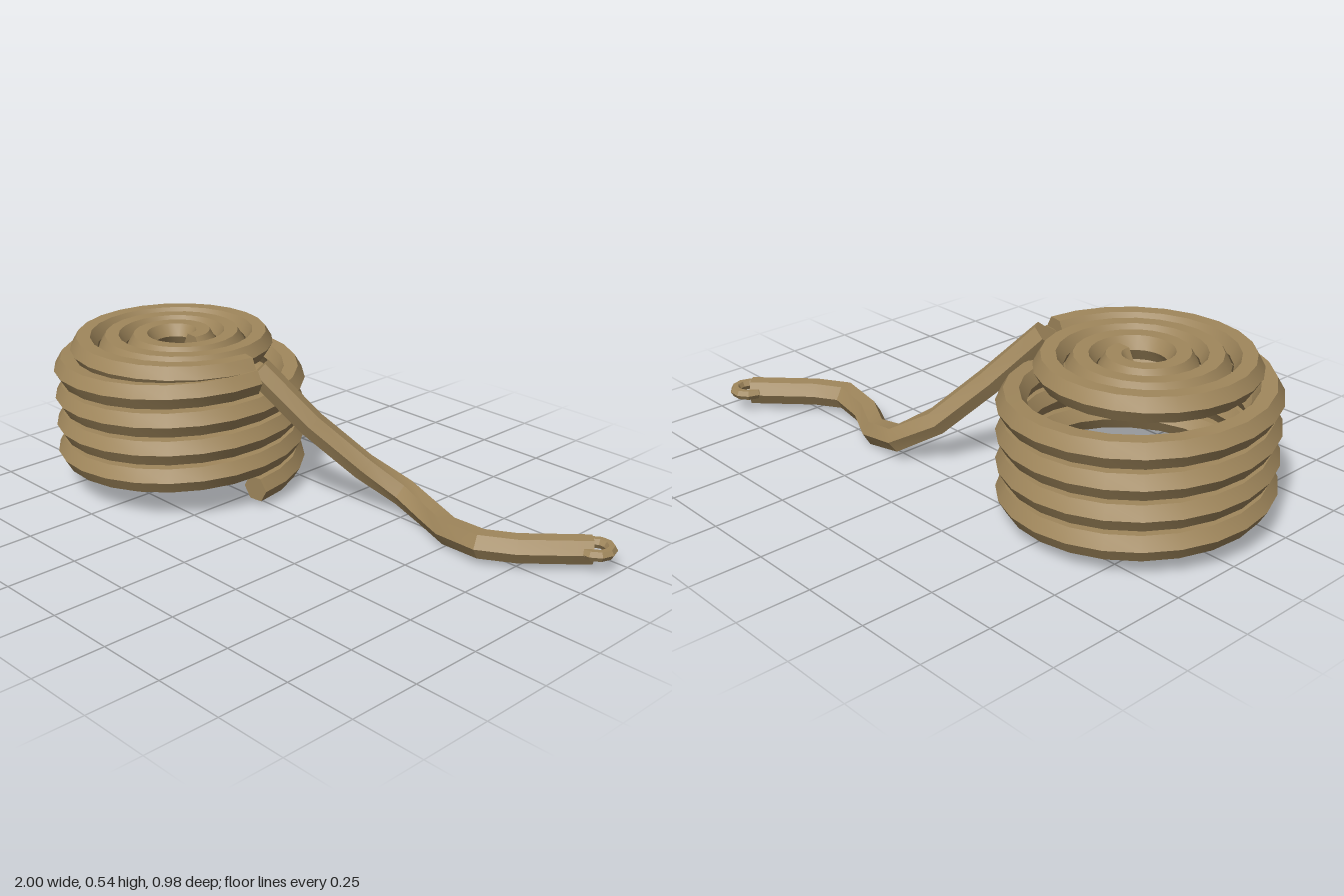
import * as THREE from 'three';
import { toCreasedNormals } from 'three/addons/utils/BufferGeometryUtils.js';

const SIDES = 6, CX = -0.56, CZ = 0.043;
const UP = new THREE.Vector3(0, 1, 0);

// Sweep a flat-topped hexagon along a path, mitred at the bends and capped at both ends
function ropeGeometry(path, radius) {
  const pos = [], index = [], n = path.length;
  path.forEach((p, i) => {
    const before = p.clone().sub(path[Math.max(i - 1, 0)]).normalize();
    const after = path[Math.min(i + 1, n - 1)].clone().sub(p).normalize();
    const t = before.clone().add(after).normalize();
    const miter = i > 0 && i < n - 1 ? 1 / t.dot(after) : 1;
    const side = t.clone().cross(UP).normalize();
    const up = side.clone().cross(t);
    for (let k = 0; k < SIDES; k++) {
      const a = (k / SIDES) * Math.PI * 2;
      const v = p.clone()
        .addScaledVector(side, Math.cos(a) * radius * miter)
        .addScaledVector(up, Math.sin(a) * radius);
      pos.push(v.x, v.y, v.z);
    }
  });
  for (let i = 0; i < n - 1; i++) {
    for (let k = 0; k < SIDES; k++) {
      const a = i * SIDES + k, b = i * SIDES + (k + 1) % SIDES;
      index.push(a, a + SIDES, b, b, a + SIDES, b + SIDES);
    }
  }
  const last = (n - 1) * SIDES;
  for (let k = 1; k < SIDES - 1; k++) {
    index.push(0, k, k + 1, last, last + k + 1, last + k);
  }
  const geo = new THREE.BufferGeometry();
  geo.setAttribute('position', new THREE.Float32BufferAttribute(pos, 3));
  geo.setIndex(index);
  return toCreasedNormals(geo, 0.5);
}

// Points winding around the coil axis; dir is +1 toward the front, -1 toward the back
function winding(turns, dir, r0, r1, y0, y1) {
  const pts = [], steps = turns * 24;
  for (let i = 0; i <= steps; i++) {
    const f = i / steps, a = f * turns * Math.PI * 2;
    const r = THREE.MathUtils.lerp(r0, r1, f);
    pts.push(new THREE.Vector3(
      CX + r * Math.cos(a), THREE.MathUtils.lerp(y0, y1, f), CZ + dir * r * Math.sin(a)));
  }
  return pts;
}

export function createModel() {
  const model = new THREE.Group();
  model.name = 'coiledRope';
  const rope = new THREE.MeshStandardMaterial({ color: 0xa0875c });
  rope.name = 'ropeTan';
  const add = (name, geo) => {
    const mesh = new THREE.Mesh(geo, rope);
    mesh.name = name;
    model.add(mesh);
    return mesh;
  };

  // Stacked loops and the flat spiral on top
  add('stackedCoil', ropeGeometry(winding(4, -1, 0.395, 0.395, 0.07, 0.47), 0.049));
  add('topSpiral', ropeGeometry(winding(3, 1, 0.37, 0.07, 0.51, 0.51), 0.047));

  // Loose end dropping from the coil and trailing along the ground
  const tail = [
    [-0.17, 0.5, 0.018], [-0.02, 0.32, -0.085], [0.11, 0.165, -0.21], [0.23, 0.083, -0.285],
    [0.375, 0.048, -0.267], [0.5, 0.058, -0.207], [0.65, 0.071, -0.19],
    [0.75, 0.071, -0.25], [0.92, 0.071, -0.415],
  ].map((p) => new THREE.Vector3(...p));
  add('looseEnd', ropeGeometry(tail, 0.048));

  // Small whipping ring at the tip
  const ring = add('endRing', toCreasedNormals(new THREE.TorusGeometry(0.05, 0.019, 6, 10), 0.5));
  ring.rotation.x = Math.PI / 2;
  ring.position.set(0.928, 0.074, -0.422);

  return model;
}
